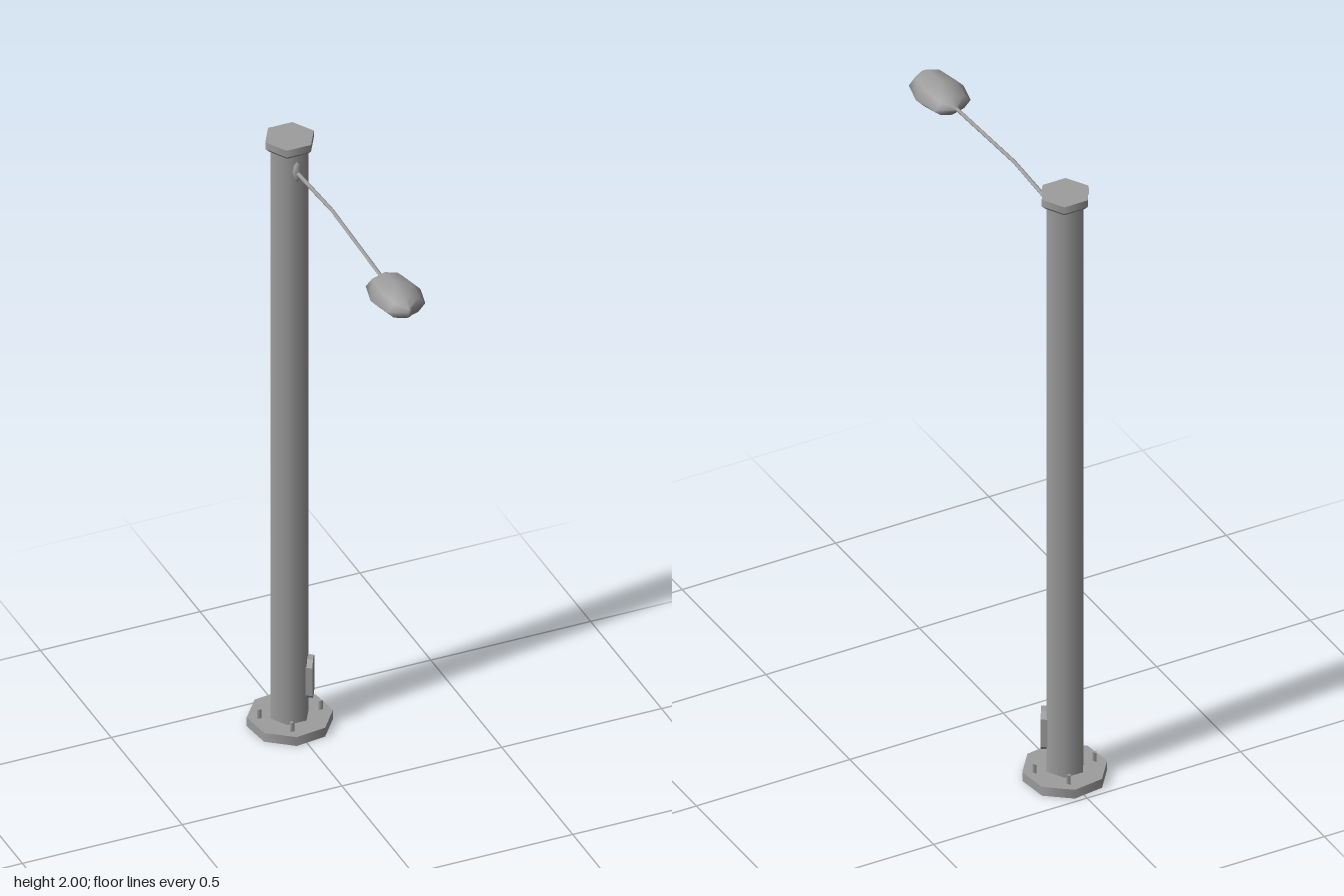
import * as THREE from 'three';

const material = new THREE.MeshStandardMaterial({ color: 0x9d9d9d });
const POLE_X = -0.002, POLE_Z = -0.365;

function add(parent, name, geometry) {
  const mesh = new THREE.Mesh(geometry, material);
  mesh.name = name;
  parent.add(mesh);
  return mesh;
}

// Upright prism between two heights, first corner turned by `turn` from +z
function prism(rTop, rBottom, y0, y1, sides, turn) {
  return new THREE.CylinderGeometry(rTop, rBottom, y1 - y0, sides, 1, false, turn)
    .translate(0, (y0 + y1) / 2, 0);
}

// Closed surface through eight-sided rings [z, centreY, halfWidth, halfHeight]
function loft(rings) {
  const n = 8, positions = [], index = [];
  for (const [z, y, w, h] of rings) {
    for (let i = 0; i < n; i++) {
      const a = (i / n) * Math.PI * 2;
      const k = i % 2 ? 0.92 : 1;
      positions.push(Math.cos(a) * w * k, y + Math.sin(a) * h * k, z);
    }
  }
  for (let r = 0; r < rings.length - 1; r++) {
    for (let i = 0; i < n; i++) {
      const a = r * n + i, b = r * n + (i + 1) % n;
      index.push(a, b, b + n, a, b + n, a + n);
    }
  }
  const last = (rings.length - 1) * n;
  for (let i = 1; i < n - 1; i++) {
    index.push(0, i + 1, i, last, last + i, last + i + 1);
  }
  const geometry = new THREE.BufferGeometry();
  geometry.setAttribute('position', new THREE.Float32BufferAttribute(positions, 3));
  geometry.setIndex(index);
  geometry.computeVertexNormals();
  return geometry;
}

export function createModel() {
  const model = new THREE.Group();
  model.name = 'streetLamp';

  // Pole, base flange and cap share one axis
  const column = new THREE.Group();
  column.name = 'column';
  column.position.set(POLE_X, 0, POLE_Z);
  model.add(column);
  const flange = add(column, 'baseFlange', prism(0.125, 0.125, 0, 0.03, 8, Math.PI / 6));
  flange.position.x = 0.001;
  add(column, 'pole', prism(0.06, 0.06, 0.02, 1.98, 6, Math.PI / 2));
  add(column, 'capCollar', prism(0.076, 0.064, 1.965, 1.977, 6, Math.PI / 2));
  add(column, 'cap', prism(0.076, 0.076, 1.977, 2, 6, Math.PI / 2));

  // Three-sided anchor bolts
  for (const degrees of [82, 159, 260, 340]) {
    const a = THREE.MathUtils.degToRad(degrees);
    const bolt = add(column, 'anchorBolt', prism(0.008, 0.008, 0.025, 0.06, 3, Math.PI));
    bolt.position.set(Math.sin(a) * 0.091, 0, Math.cos(a) * 0.091);
  }

  // Access hatch with clipped corners on one face of the pole
  const w = 0.032, h = 0.065, c = 0.018;
  const outline = [[-w, -h + c], [-w + c, -h], [w - c, -h], [w, -h + c],
    [w, h - c], [w - c, h], [-w + c, h], [-w, h - c]];
  const hatchShape = new THREE.Shape(outline.map(([x, y]) => new THREE.Vector2(x, y)));
  const hatch = add(column, 'accessHatch',
    new THREE.ExtrudeGeometry(hatchShape, { depth: 0.02, bevelEnabled: false }));
  hatch.rotation.y = Math.PI / 3;
  hatch.position.set(Math.sin(Math.PI / 3) * 0.049, 0.163, Math.cos(Math.PI / 3) * 0.049);

  // Arm bracket, bent arm and lamp head
  const arm = new THREE.Group();
  arm.name = 'lampArm';
  arm.position.x = -0.003;
  model.add(arm);
  add(arm, 'armBracket', loft([
    [-0.318, 1.912, 0.014, 0.033], [-0.306, 1.912, 0.014, 0.033], [-0.299, 1.912, 0.009, 0.022],
  ]));
  add(arm, 'armTube', loft([
    [-0.31, 1.909, 0.007, 0.007], [-0.06, 1.928, 0.006, 0.006], [0.3, 1.908, 0.006, 0.006],
  ]));
  add(arm, 'lampHead', loft([
    [0.284, 1.907, 0.008, 0.009], [0.309, 1.906, 0.06, 0.032], [0.384, 1.905, 0.078, 0.045],
    [0.459, 1.906, 0.06, 0.036], [0.486, 1.907, 0.006, 0.016],
  ]));
  return model;
}
